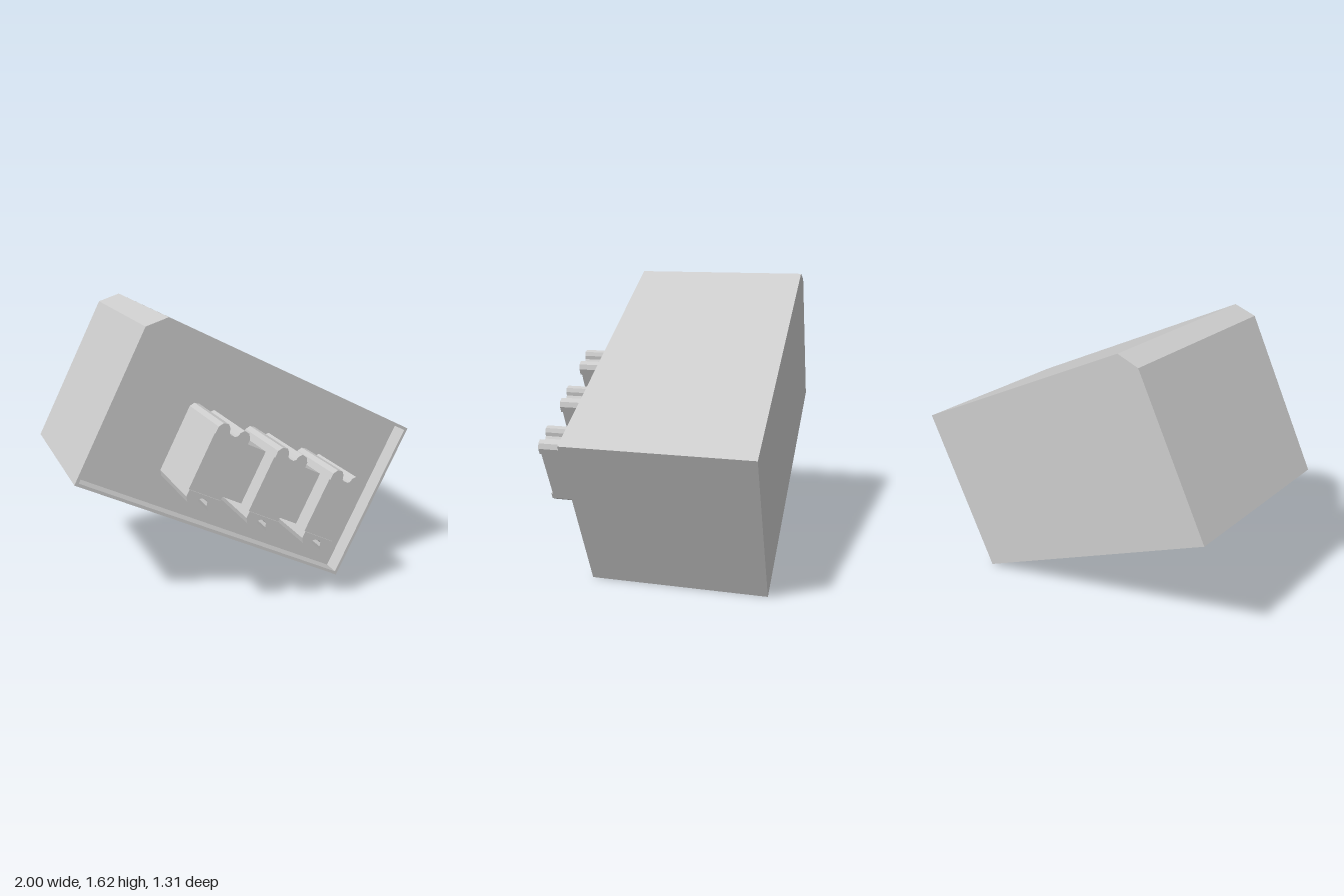
import * as THREE from 'three';

const material = new THREE.MeshStandardMaterial({ color: 0xcccccc, flatShading: true });

const BACK = -0.655, PANEL = 0.225, FRONT = 0.325; // body depth stations
const points = (list) => list.map(([x, y]) => new THREE.Vector2(x, y));

// Extrudes a flat shape between two z stations
function prism(name, shape, z0, z1) {
  const geometry = new THREE.ExtrudeGeometry(shape, { depth: z1 - z0, bevelEnabled: false });
  geometry.translate(0, 0, z0);
  const mesh = new THREE.Mesh(geometry, material);
  mesh.name = name;
  return mesh;
}

// Rectangle with its top left corner cut off
function bodyOutline(inset) {
  const w = 0.87 - inset, h = 0.49 - inset, c = 0.092 - inset * 0.586;
  return points([[-w, -h], [w, -h], [w, h], [-w + c, h], [-w, h - c]]);
}

function rectangle(w, h) {
  return new THREE.Shape(points([[-w, -h], [w, -h], [w, h], [-w, h]]));
}

// Pair of rounded ridges sitting on a block edge
function ridgeShape(y) {
  const half = [
    [0.095, 0], [0.095, 0.038], [0.077, 0.063], [0.048, 0.068],
    [0.031, 0.05], [0.025, 0.029], [0.012, 0.02],
  ];
  const mirrored = half.map(([x, h]) => [-x, h]).reverse();
  return new THREE.Shape(points([...half, ...mirrored].map(([x, h]) => [x, y + h])));
}

export function createModel() {
  const model = new THREE.Group();
  model.name = 'tiltedHousing';

  const tilted = new THREE.Group();
  tilted.name = 'housing';
  tilted.position.y = 0.832;
  tilted.rotation.z = -0.4715;
  model.add(tilted);

  // Solid body and the thin rim around the recessed front panel
  tilted.add(prism('body', new THREE.Shape(bodyOutline(0)), BACK, PANEL));
  const rim = new THREE.Shape(bodyOutline(0));
  rim.holes.push(new THREE.Path(bodyOutline(0.017)));
  tilted.add(prism('frontRim', rim, PANEL, FRONT));

  // Row of three ridged blocks
  const row = new THREE.Group();
  row.name = 'blockRow';
  row.position.set(0.035, -0.086, 0);
  tilted.add(row);

  for (let i = -1; i <= 1; i++) {
    const block = new THREE.Group();
    block.name = 'ridgedBlock';
    block.position.x = i * 0.367;
    block.add(prism('block', rectangle(0.095, 0.155), PANEL, 0.645));
    const top = prism('topRidges', ridgeShape(0.155), PANEL, 0.655);
    const bottom = prism('bottomRidges', ridgeShape(0.155), PANEL, 0.655);
    bottom.rotation.z = Math.PI;
    block.add(top, bottom);
    row.add(block);
  }

  // Shallower links between the blocks
  for (const side of [-1, 1]) {
    const link = prism('link', rectangle(0.0885, 0.153), PANEL, 0.54);
    link.position.x = side * 0.1835;
    row.add(link);
  }

  return model;
}
